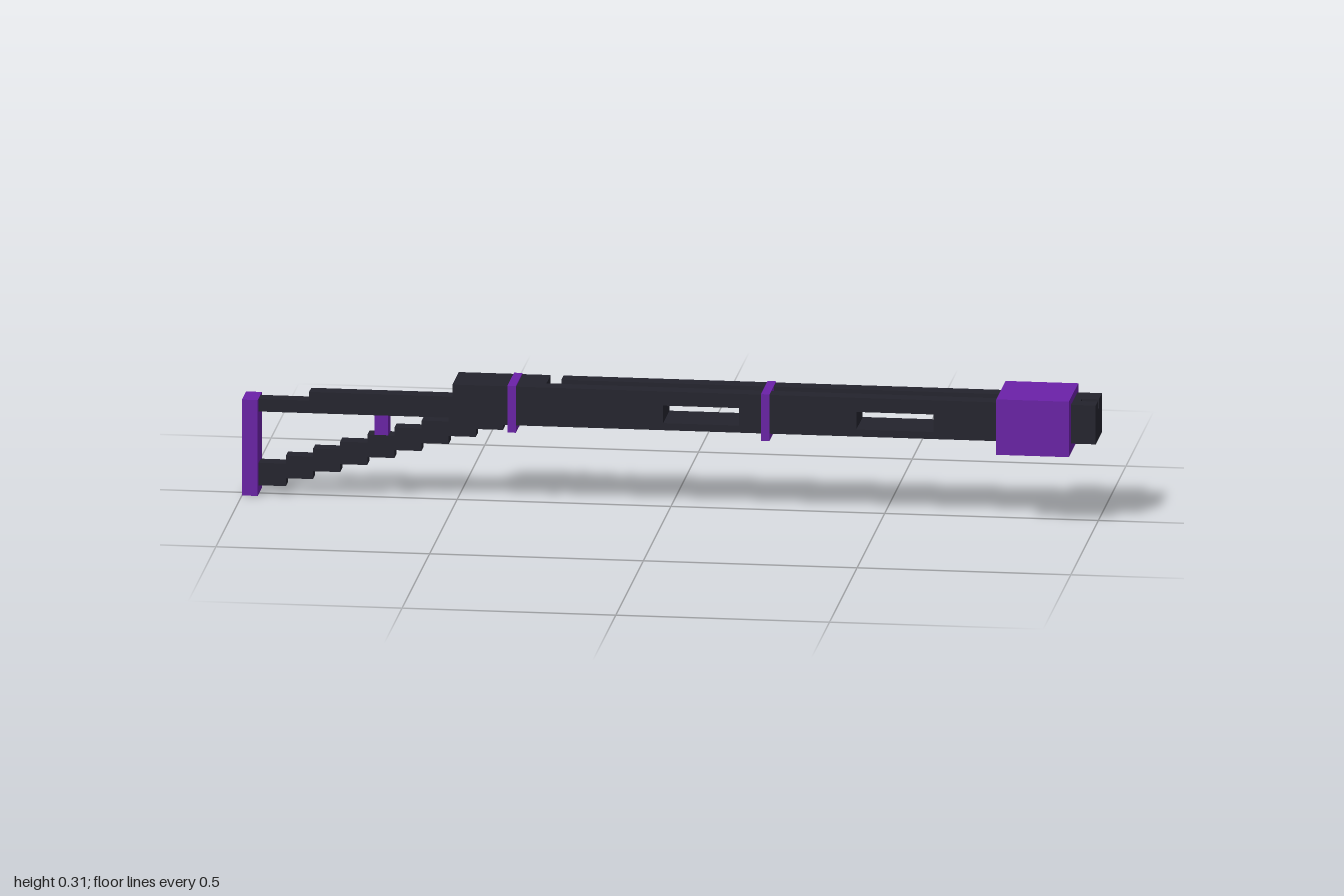
import * as THREE from 'three';

export function createModel() {
  const model = new THREE.Group();
  const dark = new THREE.MeshStandardMaterial({ color: 0x23232d });
  dark.name = 'charcoal';
  const purple = new THREE.MeshStandardMaterial({ color: 0x6b21a8 });
  purple.name = 'purple';

  // Box given by its limits on each axis
  function block(name, material, x0, x1, y0, y1, z0, z1) {
    const mesh = new THREE.Mesh(new THREE.BoxGeometry(x1 - x0, y1 - y0, z1 - z0), material);
    mesh.position.set((x0 + x1) / 2, (y0 + y1) / 2, (z0 + z1) / 2);
    mesh.name = name;
    model.add(mesh);
  }

  const back = -0.067, front = 0.048;   // body sides
  const low = 0.195, floor = 0.268, top = 0.288;

  // Main body with two slots cut through from side to side
  const side = new THREE.Shape();
  side.moveTo(-0.505, low);
  side.lineTo(1, low);
  side.lineTo(1, floor);
  side.lineTo(-0.505, floor);
  side.closePath();
  for (const [x0, x1] of [[-0.012, 0.165], [0.44, 0.62]]) {
    const slot = new THREE.Path();
    slot.moveTo(x0, 0.212);
    slot.lineTo(x0, 0.254);
    slot.lineTo(x1, 0.254);
    slot.lineTo(x1, 0.212);
    slot.closePath();
    side.holes.push(slot);
  }
  const body = new THREE.Mesh(
    new THREE.ExtrudeGeometry(side, { depth: front - back, bevelEnabled: false }), dark);
  body.position.z = back;
  body.name = 'body';
  model.add(body);

  // Top of the body: solid rear cover, two rails beside a groove, notched muzzle
  block('rearCover', dark, -0.505, -0.29, floor, top, back, front);
  block('frontRail', dark, -0.29, 0.78, floor, top, 0.01, front);
  block('backRail', dark, -0.26, 0.78, floor, top, back, -0.028);
  block('muzzleTop', dark, 0.78, 0.96, floor, top, back, front);
  block('muzzleFrontLug', dark, 0.96, 1, floor, top, 0.011, front);
  block('muzzleBackLug', dark, 0.96, 1, floor, top, back, -0.01);

  // Purple muzzle collar and the two bands
  block('muzzleCollar', purple, 0.772, 0.942, 0.172, 0.305, -0.085, 0.085);
  for (const x of [-0.366, 0.227]) {
    block('bandFront', purple, x - 0.01, x + 0.01, 0.178, 0.29, front, front + 0.003);
    block('bandBack', purple, x - 0.01, x + 0.01, 0.178, 0.29, back - 0.003, back);
    block('bandTop', purple, x - 0.01, x + 0.01, floor, 0.29, back, front);
    block('bandBottom', purple, x - 0.01, x + 0.01, 0.178, low, back, front);
  }

  // Skeleton stock: upper bar, stepped lower bar, strut and butt plate
  const s0 = -0.028, s1 = 0.01;
  block('stockBarRear', dark, -0.963, -0.845, 0.198, 0.228, s0, s1);
  block('stockBar', dark, -0.845, -0.505, 0.198, 0.249, s0, s1);
  for (let i = 0; i < 9; i++) {
    const x = -0.963 + i * 0.0635, y = 0.021 + i * 0.019;
    block('stockStep', dark, x, x + 0.0635, y, Math.min(y + 0.054, 0.2), s0, s1);
  }
  block('stockStrut', purple, -0.692, -0.66, 0.14, 0.198, s0, s1);
  block('buttPlate', purple, -1, -0.963, 0, 0.23, -0.047, 0.028);

  return model;
}
